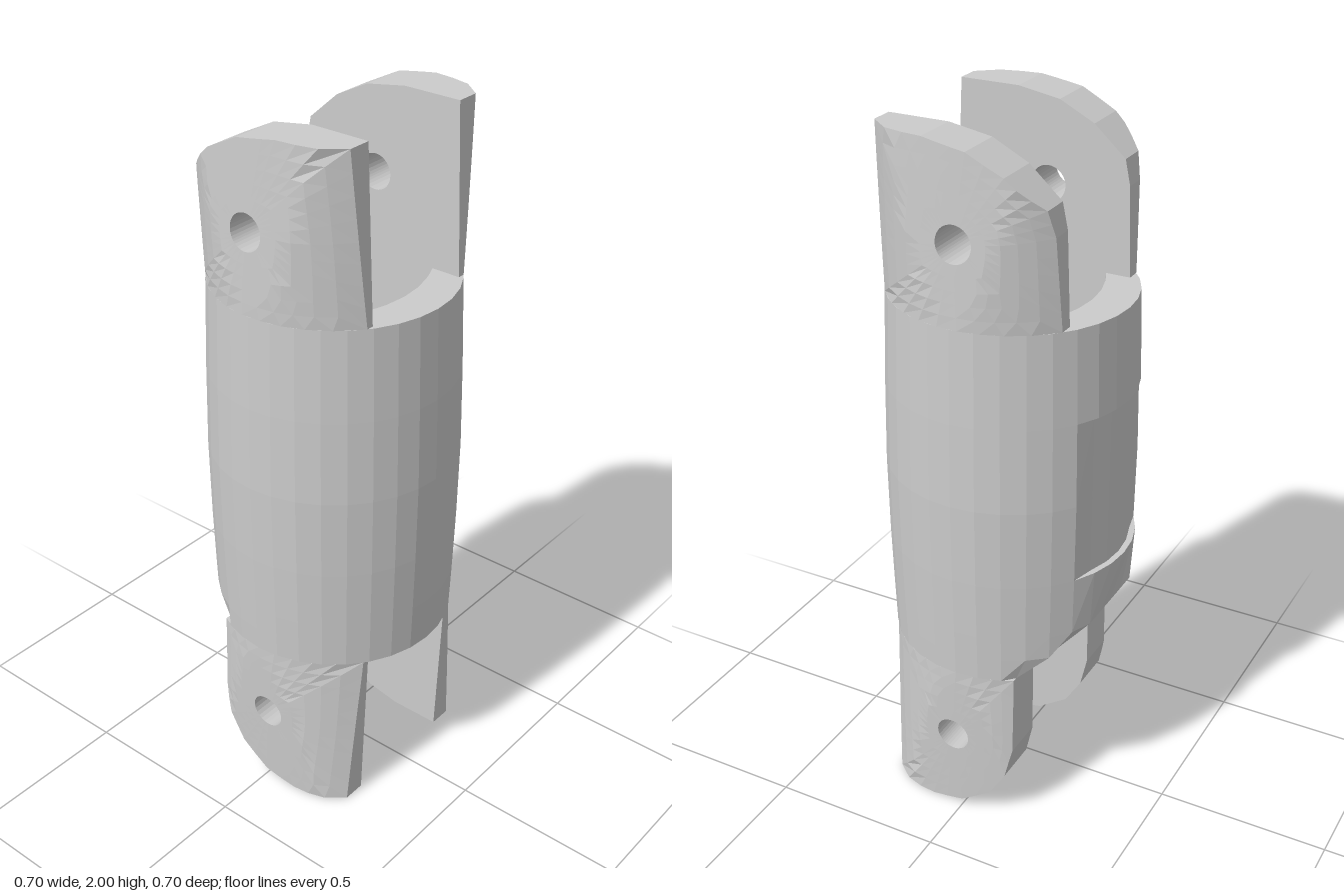
import * as THREE from 'three';

const SIDES = 32, FLAT = 0.18, LOW = 0.49, HIGH = 1.53;

// Barrel radius: widest at mid height
const radius = (y) => 0.35 - 0.035 * Math.pow(Math.abs(y - 1), 1.5);

// Outer face of a prong: round at the flanks, flattened towards the tip
function prongZ(x, y) {
  const t = Math.max(0, (Math.abs(y - 1) - 0.53) / 0.47);
  const r = radius(HIGH) + 0.014 * t;
  return Math.min(Math.sqrt(r * r - x * x), radius(y) - 0.5 * x * x);
}

// Skin a ring of closed loops; the last loop joins the first
function loft(loops, name, material) {
  const n = loops[0].length, pos = loops.flat(2), index = [];
  loops.forEach((_, i) => {
    const k = (i + 1) % loops.length;
    for (let j = 0; j < n; j++) {
      const m = (j + 1) % n;
      const a = i * n + j, b = i * n + m, c = k * n + m, d = k * n + j;
      index.push(a, b, c, a, c, d);
    }
  });
  const indexed = new THREE.BufferGeometry();
  indexed.setAttribute('position', new THREE.Float32BufferAttribute(pos, 3));
  indexed.setIndex(index);
  const geometry = indexed.toNonIndexed();
  geometry.computeVertexNormals();
  const mesh = new THREE.Mesh(geometry, material);
  mesh.name = name;
  return mesh;
}

function ring(fn) {
  return Array.from({ length: SIDES }, (_, j) => {
    const a = (j / SIDES) * Math.PI * 2;
    return fn(Math.sin(a), Math.cos(a));
  });
}

// Outer barrel loop: minX cuts the lower scoop, recess sinks the panel
const outerLoop = ([y, minX, recess]) => ring((s, c) => {
  const r = recess && s < 0 && Math.abs(c) < 0.39 ? 0.33 : radius(y);
  return [Math.max(r * s, minX), y, r * c];
});

// Inner opening: flat front and back, bowed sides, left wall leaning inwards
const innerLoop = (y) => ring((s, c) => {
  const z = THREE.MathUtils.clamp(0.35 * c, -FLAT, FLAT);
  const wall = s > 0 ? 0.23 : 0.13 + 0.1 * (y - LOW) / (HIGH - LOW);
  const x = (wall - 1.4 * z * z) * Math.min(1, Math.abs(s) / 0.83);
  return [Math.sign(s) * x, y, z];
});

// Prong plate with a pin hole; side is +1 for front, -1 for back
function prong(outline, [cx, cy], side, name, material) {
  const edge = [];
  outline.forEach(([x, y], i) => {
    const [x2, y2] = outline[(i + 1) % outline.length];
    const steps = Math.ceil(Math.hypot(x2 - x, y2 - y) / 0.06);
    for (let k = 0; k < steps; k++) {
      const t = k / steps;
      edge.push([x + (x2 - x) * t, y + (y2 - y) * t]);
    }
  });
  // Loop between the outline (t = 0) and the hole rim (t = 1)
  const loop = (t, outer) => {
    const pts = edge.map(([x, y]) => {
      const d = Math.hypot(x - cx, y - cy);
      const px = x + (cx + 0.05 * (x - cx) / d - x) * t;
      const py = y + (cy + 0.05 * (y - cy) / d - y) * t;
      return [px, py, side * (outer ? prongZ(px, py) : FLAT)];
    });
    return side > 0 ? pts : pts.reverse();
  };
  const loops = [0, 0.2, 0.4, 0.6, 0.8, 1].map((t) => loop(t, true));
  loops.push(loop(1, false), loop(0, false));
  return loft(loops, name, material);
}

export function createModel() {
  const group = new THREE.Group();
  group.name = 'hingedLink';
  const material = new THREE.MeshStandardMaterial({ color: 0xcccccc, flatShading: true });

  // Hollow barrel: rows of height, left limit, recess flag
  const rows = [
    [LOW, -0.16], [0.56, -0.24], [0.63, -0.31], [0.8, -1], [0.8, -1, true],
    [1.03, -1, true], [1.27, -1, true], [1.27, -1], [HIGH, -1],
  ];
  group.add(loft([...rows.map(outerLoop), innerLoop(HIGH), innerLoop(1), innerLoop(LOW)],
    'barrel', material));

  // Hinge prongs at both ends, front and back
  const upper = [[0.27, HIGH], [0.25, 2], [0.08, 2], [-0.04, 1.98], [-0.14, 1.93],
    [-0.23, 1.85], [-0.245, 1.78], [-0.255, HIGH]];
  const lower = [[0.25, 0], [0.27, LOW], [-0.16, LOW], [-0.16, 0.25], [-0.14, 0.16],
    [-0.09, 0.08], [0, 0.02], [0.1, 0]];
  for (const [side, label] of [[1, 'Front'], [-1, 'Back']]) {
    group.add(prong(upper, [-0.01, 1.75], side, `upper${label}Prong`, material));
    group.add(prong(lower, [0.02, 0.26], side, `lower${label}Prong`, material));
  }
  return group;
}
